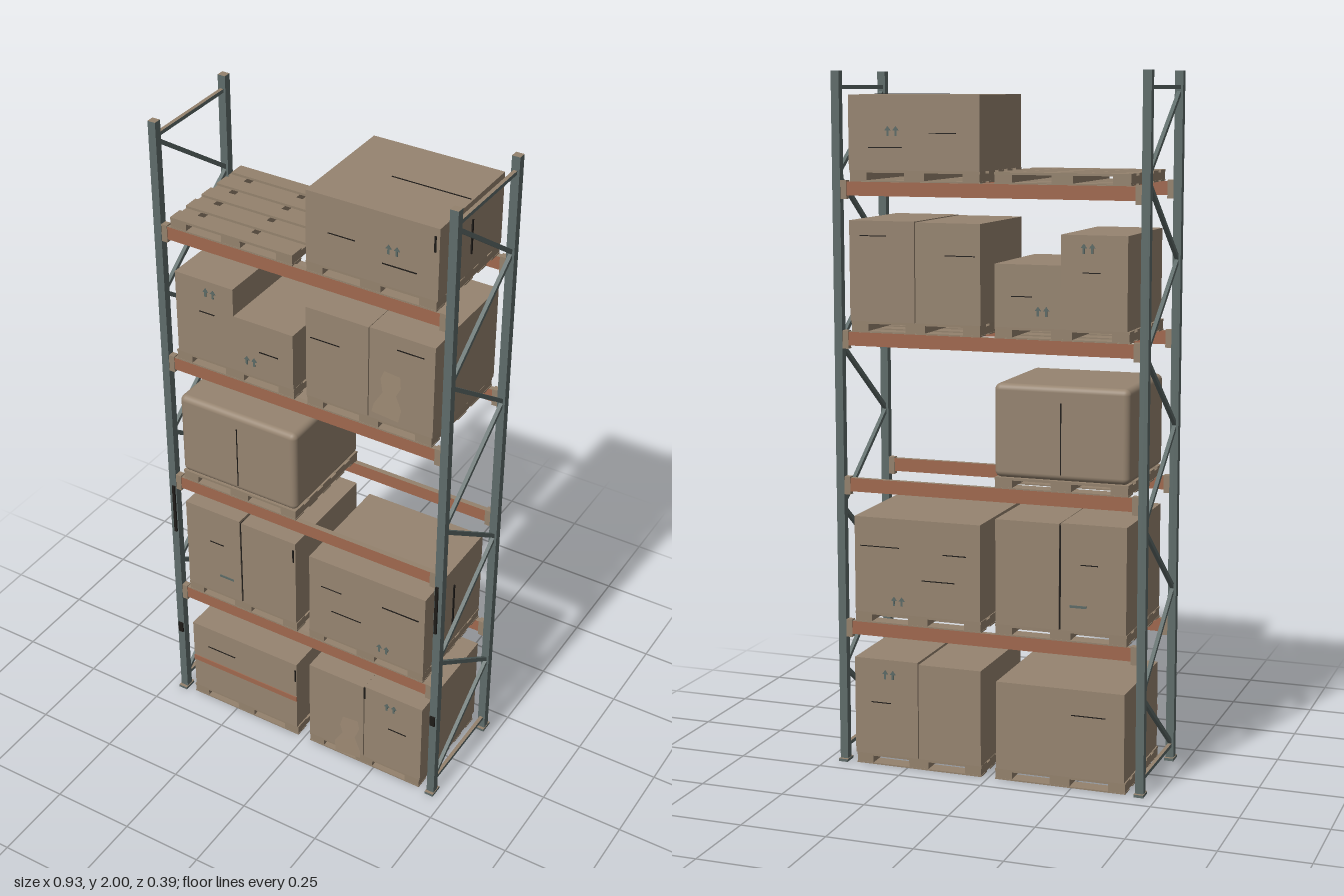
import * as THREE from 'three';
import { RoundedBoxGeometry } from 'three/addons/geometries/RoundedBoxGeometry.js';

const mat = (name, color, extra = {}) => {
  const m = new THREE.MeshStandardMaterial({ color, ...extra });
  m.name = name;
  return m;
};

export function createModel() {
  const steel = mat('steel', 0x5f6c6a);
  const orange = mat('beamOrange', 0xa0684e);
  const card = mat('cardboard', 0x968470);
  const wood = mat('palletWood', 0x94826d);
  const dark = mat('darkSeam', 0x1e1b18);
  const ink = mat('printInk', 0x5c6a66);
  const torn = mat('tornCard', 0x92806b, { side: THREE.DoubleSide });

  const model = new THREE.Group();
  model.name = 'palletRack';
  const FRONT = 0.152, BACK = -0.174, MID = -0.012;

  // Box given by its centre and size
  const box = (parent, name, m, [x, y, z], [w, h, d]) => {
    const mesh = new THREE.Mesh(new THREE.BoxGeometry(w, h, d), m);
    mesh.name = name;
    mesh.position.set(x, y, z);
    parent.add(mesh);
    return mesh;
  };
  const topped = (side) => [side, side, wood, wood, side, side];

  // Side frames: posts, feet, zigzag braces
  const zig = [[0.05, FRONT], [0.285, BACK], [0.52, FRONT], [0.765, BACK], [1.0, FRONT],
    [1.24, BACK], [1.475, FRONT], [1.715, BACK], [1.945, FRONT]];
  for (const s of [-1, 1]) {
    const frame = new THREE.Group();
    frame.name = s < 0 ? 'rightFrame' : 'leftFrame';
    model.add(frame);
    const x = s * 0.45;
    for (const z of [FRONT, BACK]) {
      box(frame, 'post', topped(steel), [x, 1, z], [0.024, 2, 0.023]);
      box(frame, 'foot', topped(steel), [x, 0.004, z], [0.028, 0.008, 0.042]);
    }
    for (const y of [0.045, 1.955]) box(frame, 'crossBar', topped(steel), [x, y, MID], [0.011, 0.011, FRONT - BACK]);
    for (let i = 0; i < zig.length - 1; i++) {
      const [y0, z0] = zig[i], [y1, z1] = zig[i + 1];
      const bar = box(frame, 'brace', steel, [x, (y0 + y1) / 2, (z0 + z1) / 2],
        [0.011, 0.012, Math.hypot(y1 - y0, z1 - z0)]);
      bar.rotation.x = -Math.atan2(y1 - y0, z1 - z0);
    }
    // Dark plates on the front post
    box(frame, 'loadPlate', dark, [s * 0.446, 0.725, FRONT + 0.014], [0.009, 0.17, 0.005]);
    box(frame, 'postClip', dark, [s * 0.449, s < 0 ? 0.255 : 0.3, FRONT + 0.014], [0.016, 0.035, 0.005]);
  }

  // Beams with end connectors
  const decks = [0, 0.427, 0.85, 1.272, 1.695];
  for (const top of decks.slice(1)) {
    for (const z of [FRONT, BACK]) {
      box(model, 'beam', topped(orange), [0, top - 0.02, z], [0.84, 0.039, 0.016]);
      for (const s of [-1, 1]) box(model, 'beamConnector', wood, [s * 0.43, top - 0.023, z], [0.02, 0.052, 0.02]);
    }
  }

  // Pallet: three stringers, five top boards, five bottom boards
  const addPallet = (x, y) => {
    const pallet = new THREE.Group();
    pallet.name = 'pallet';
    pallet.position.set(x, y, MID);
    for (const [sx, w] of [[-0.168, 0.05], [0, 0.06], [0.168, 0.05]]) {
      box(pallet, 'stringer', wood, [sx, 0.0145, 0], [w, 0.021, 0.342]);
    }
    for (let i = -2; i <= 2; i++) {
      box(pallet, 'topBoard', wood, [0, 0.0285, i * 0.0745], [0.388, 0.007, 0.046]);
      box(pallet, 'bottomBoard', wood, [0, 0.002, i * 0.0745], [0.388, 0.004, 0.046]);
    }
    model.add(pallet);
  };
  for (const y of decks) {
    addPallet(-0.215, y);
    if (y !== decks[2]) addPallet(0.215, y);
  }

  // Cartons, given as x range, y range
  const Z0 = -0.185, Z1 = 0.161;
  const carton = (x0, x1, y0, y1, turn = 0) => {
    const c = box(model, 'carton', card, [(x0 + x1) / 2, (y0 + y1) / 2, MID], [x1 - x0, y1 - y0, Z1 - Z0]);
    c.rotation.y = turn;
  };
  carton(-0.405, -0.025, 0.032, 0.29);
  carton(0.022, 0.213, 0.032, 0.315);
  carton(0.216, 0.412, 0.032, 0.32);
  carton(-0.407, -0.217, 0.459, 0.765);
  carton(-0.211, -0.023, 0.459, 0.762);
  carton(0.024, 0.408, 0.459, 0.74, 0.005);
  carton(-0.402, -0.213, 1.304, 1.562);
  carton(-0.213, -0.022, 1.304, 1.478);
  carton(0.02, 0.213, 1.304, 1.585);
  carton(0.216, 0.412, 1.304, 1.587);
  carton(0.022, 0.411, 1.727, 1.935, 0.005);
  // Core showing in the wide gap between two stacks
  box(model, 'stackGap', dark, [-0.214, 0.608, MID], [0.007, 0.296, 0.34]);

  // Wrapped load with soft edges
  const wrapped = new THREE.Mesh(new RoundedBoxGeometry(0.392, 0.265, 0.348, 4, 0.018), card);
  wrapped.name = 'wrappedLoad';
  wrapped.position.set(-0.215, 1.0145, MID);
  model.add(wrapped);

  // Thin seams and tape marks on front and back
  const seams = [[-0.3, 0.215, 0.1], [0.33, 0.19, 0.06], [-0.3, 0.65, 0.05], [0.1, 0.645, 0.07],
    [0.33, 0.655, 0.12], [0.15, 0.565, 0.1], [-0.3, 1.46, 0.05], [0.08, 1.495, 0.09],
    [0.34, 1.545, 0.08], [0.13, 1.83, 0.08], [0.3, 1.79, 0.1], [-0.1, 1.39, 0.06]];
  for (const z of [Z1, Z0]) {
    for (const [x, y, w] of seams) box(model, 'seam', dark, [x, y, z], [w, 0.0025, 0.004]);
    box(model, 'wrapSeam', dark, [-0.215, 1.0, z], [0.003, 0.2, 0.004]);
    box(model, 'inkDash', ink, [-0.268, 0.53, z], [0.05, 0.007, 0.004]);
  }
  box(model, 'strap', orange, [-0.215, 0.15, Z1], [0.38, 0.018, 0.005]);

  // Dark slits on the carton ends and corners
  for (const [x, y, h] of [[0.409, 0.6, 0.15], [0.412, 1.83, 0.1], [-0.407, 0.61, 0.14]]) {
    box(model, 'endSlit', dark, [x, y, -0.012], [0.005, h, 0.006]);
  }
  for (const [x, y] of [[-0.029, 0.245], [0.4, 1.89], [-0.03, 0.715], [0.216, 0.295]]) {
    box(model, 'cornerSlit', dark, [x, y, Z1], [0.005, 0.045, 0.004]);
  }
  box(model, 'topSlit', dark, [0.29, 1.935, -0.012], [0.23, 0.003, 0.003]);

  // Pairs of this-way-up arrows
  const arrowShape = new THREE.Shape([[-0.003, -0.013], [0.003, -0.013], [0.003, 0.002], [0.009, 0.002],
    [0, 0.014], [-0.009, 0.002], [-0.003, 0.002]].map(([x, y]) => new THREE.Vector2(x, y)));
  const arrowGeo = new THREE.ExtrudeGeometry(arrowShape, { depth: 0.002, bevelEnabled: false });
  for (const [x, y] of [[-0.29, 1.525], [-0.16, 1.35], [0.28, 1.835], [0.275, 0.497], [0.305, 0.275]]) {
    for (const dx of [-0.012, 0.012]) {
      for (const z of [Z1, Z0 - 0.002]) {
        const arrow = new THREE.Mesh(arrowGeo, ink);
        arrow.name = 'upArrow';
        arrow.position.set(x + dx, y, z);
        model.add(arrow);
      }
    }
  }

  // Torn flaps hinged at the top, hanging out from the front
  const flapShape = new THREE.Shape([[-0.028, 0], [0.022, 0], [0.03, -0.03], [0.02, -0.055], [0.043, -0.09],
    [0.04, -0.125], [-0.045, -0.125], [-0.042, -0.1], [-0.022, -0.06], [-0.035, -0.025]]
    .map(([x, y]) => new THREE.Vector2(x, y)));
  const flapGeo = new THREE.ShapeGeometry(flapShape);
  for (const [x, y, mirror, roll] of [[0.29, 1.465, 1, -0.05], [0.165, 0.165, -1, 0.06]]) {
    const flap = new THREE.Mesh(flapGeo, torn);
    flap.name = 'tornFlap';
    flap.position.set(x, y, Z1 + 0.002);
    flap.rotation.set(-0.21, roll, roll);
    flap.scale.x = mirror;
    model.add(flap);
  }
  return model;
}
